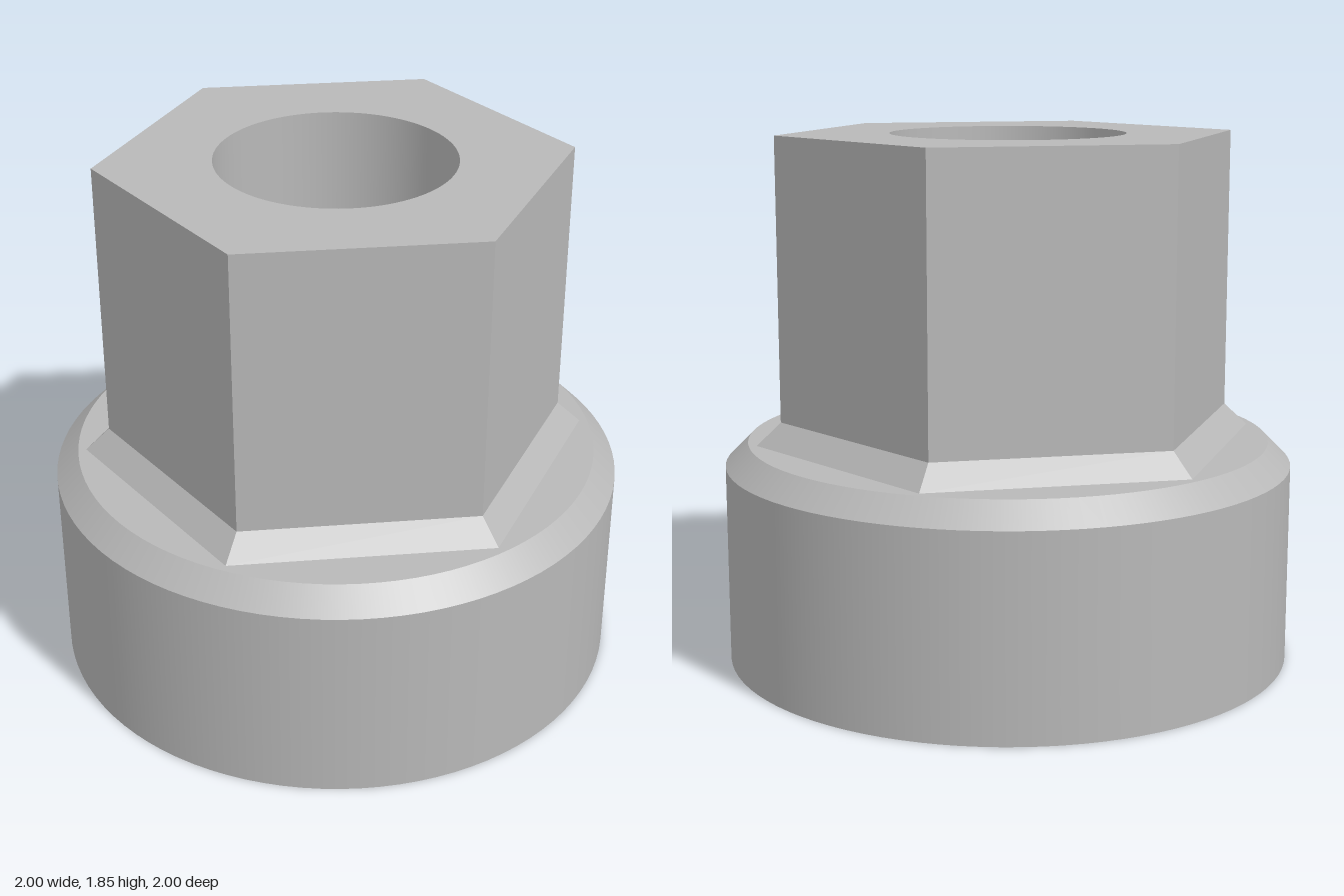
import * as THREE from 'three';

const TURN = THREE.MathUtils.degToRad(17);
const SEG = 96;

// Point given by radial and sideways offsets from one hexagon corner's direction, as (x, z)
function cornerPoint(i, radial, side = 0) {
  const a = TURN + i * Math.PI / 3, c = Math.cos(a), s = Math.sin(a);
  return new THREE.Vector2(radial * c - side * s, radial * s + side * c);
}

const hexRing = r => Array.from({ length: 6 }, (_, i) => cornerPoint(i, r));

// Flat-sided wall between two rings; outward for a ring running from x to z
function wall(lower, y0, upper, y1) {
  const pos = [];
  lower.forEach((a, i) => {
    const j = (i + 1) % lower.length;
    const b = lower[j], c = upper[i], d = upper[j];
    pos.push(a.x, y0, a.y, c.x, y1, c.y, b.x, y0, b.y);
    pos.push(b.x, y0, b.y, c.x, y1, c.y, d.x, y1, d.y);
  });
  const g = new THREE.BufferGeometry();
  g.setAttribute('position', new THREE.Float32BufferAttribute(pos, 3));
  g.computeVertexNormals();
  return g;
}

function circleRing(r) {
  return Array.from({ length: SEG }, (_, i) => {
    const a = i / SEG * Math.PI * 2;
    return new THREE.Vector2(r * Math.cos(a), r * Math.sin(a));
  });
}

// Horizontal face, with an optional hole, looking up or down
function face(outline, hole, y, up) {
  const flip = p => new THREE.Vector2(p.x, up ? -p.y : p.y);
  const shape = new THREE.Shape(outline.map(flip));
  if (hole) shape.holes.push(new THREE.Path(hole.map(flip)));
  const g = new THREE.ShapeGeometry(shape);
  g.rotateX(up ? -Math.PI / 2 : Math.PI / 2);
  return g.translate(0, y, 0);
}

// Smooth round wall; rising profiles face outward, falling ones inward
function round(r0, y0, r1, y1) {
  return new THREE.LatheGeometry([new THREE.Vector2(r0, y0), new THREE.Vector2(r1, y1)], SEG);
}

export function createModel() {
  const model = new THREE.Group();
  const steel = new THREE.MeshStandardMaterial({ color: 0xb8b8b8 });
  steel.name = 'grey steel';

  function part(name, geometries) {
    const group = new THREE.Group();
    group.name = name;
    geometries.forEach(g => {
      const m = new THREE.Mesh(g, steel);
      m.name = name;
      group.add(m);
    });
    model.add(group);
  }

  const socketR = 0.765, socketTop = 0.61, notchTop = 0.04;
  const notchTip = 0.8, notchHalf = 0.03;
  const boreR = 0.41, boreFloor = 0.86, recessR = 0.37, recessTop = 0.72;

  // Hexagonal opening with a small square relief at every corner
  const shoulder = socketR - notchHalf / Math.sqrt(3);
  const notches = Array.from({ length: 6 }, (_, i) => [
    cornerPoint(i, shoulder, -notchHalf), cornerPoint(i, notchTip, -notchHalf),
    cornerPoint(i, notchTip, notchHalf), cornerPoint(i, shoulder, notchHalf),
  ]);
  const opening = notches.flat();

  // Round collar with a chamfered shoulder
  part('collar', [
    round(1, 0, 1, 0.7),
    round(1, 0.7, 0.92, 0.78),
    face(circleRing(0.92), hexRing(0.892), 0.78, true),
    face(circleRing(1), opening, 0, false),
  ]);

  // Hexagonal head and its sloping foot
  part('hexFoot', [wall(hexRing(0.892), 0.78, hexRing(0.807), 0.86)]);
  part('hexHead', [
    wall(hexRing(0.807), 0.86, hexRing(0.807), 1.85),
    face(hexRing(0.807), circleRing(boreR), 1.85, true),
  ]);

  // Blind bore in the top
  part('topBore', [
    round(boreR, 1.85, boreR, boreFloor),
    face(circleRing(boreR), null, boreFloor, true),
  ]);

  // Hexagonal socket underneath; reversed rings face inward
  const inner = hexRing(socketR).reverse();
  const reliefs = [...opening].reverse();
  part('hexSocket', [
    wall(inner, notchTop, inner, socketTop),
    face(hexRing(socketR), circleRing(recessR), socketTop, false),
  ]);
  part('cornerReliefs', [
    wall(reliefs, 0, reliefs, notchTop),
    ...notches.map((n, i) => face([...n, cornerPoint(i, socketR)], null, notchTop, false)),
  ]);

  // Round recess in the socket ceiling
  part('socketRecess', [
    round(recessR, recessTop, recessR, socketTop),
    face(circleRing(recessR), null, recessTop, false),
  ]);

  return model;
}
